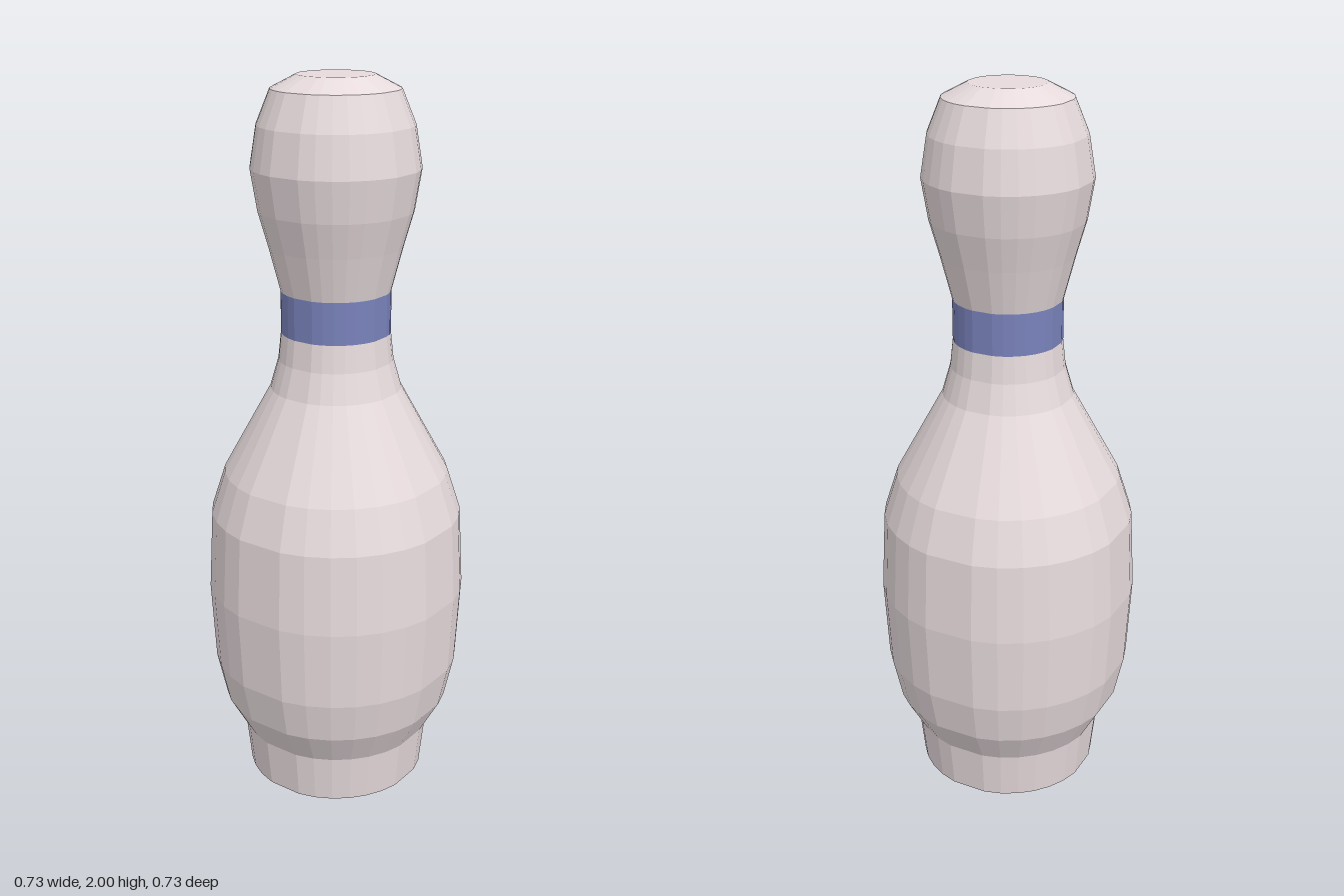
import * as THREE from 'three';

// Turns a profile of [radius, height] points into a faceted solid of revolution.
// The 28 sides step by 11.25 degrees, with one double-width side on each diagonal.
function turned(name, profile, material) {
  const sides = 28;
  const points = profile.map(([r, y]) => new THREE.Vector2(r, y));
  const geometry = new THREE.LatheGeometry(points, sides);
  const pos = geometry.attributes.position;
  for (let i = 0; i <= sides; i++) {
    const k = i % 7;
    const angle = Math.floor(i / 7) * Math.PI / 2 + (k > 3 ? k + 1 : k) * Math.PI / 16;
    profile.forEach(([r, y], j) => {
      pos.setXYZ(i * profile.length + j, r * Math.sin(angle), y, r * Math.cos(angle));
    });
  }
  geometry.computeVertexNormals();
  const mesh = new THREE.Mesh(geometry, material);
  mesh.name = name;
  return mesh;
}

export function createModel() {
  const group = new THREE.Group();
  group.name = 'bowlingPin';

  const white = new THREE.MeshStandardMaterial({ color: 0xe6dadc, flatShading: true });
  const blue = new THREE.MeshStandardMaterial({ color: 0x7982bb, flatShading: true });

  // Closed base, belly and shoulder up to the neck
  group.add(turned('body', [
    [0, 0], [0.255, 0], [0.27, 0.14], [0.325, 0.24], [0.351, 0.36], [0.363, 0.585],
    [0.351, 0.81], [0.312, 0.93], [0.18, 1.17], [0.157, 1.25], [0.149, 1.325],
  ], white));

  // Coloured band around the neck
  group.add(turned('neckBand', [[0.149, 1.325], [0.149, 1.44]], blue));

  // Head with a bevelled flat top
  group.add(turned('head', [
    [0.149, 1.44], [0.18, 1.56], [0.207, 1.655], [0.225, 1.765],
    [0.207, 1.875], [0.17, 1.965], [0.102, 2], [0, 2],
  ], white));

  return group;
}
